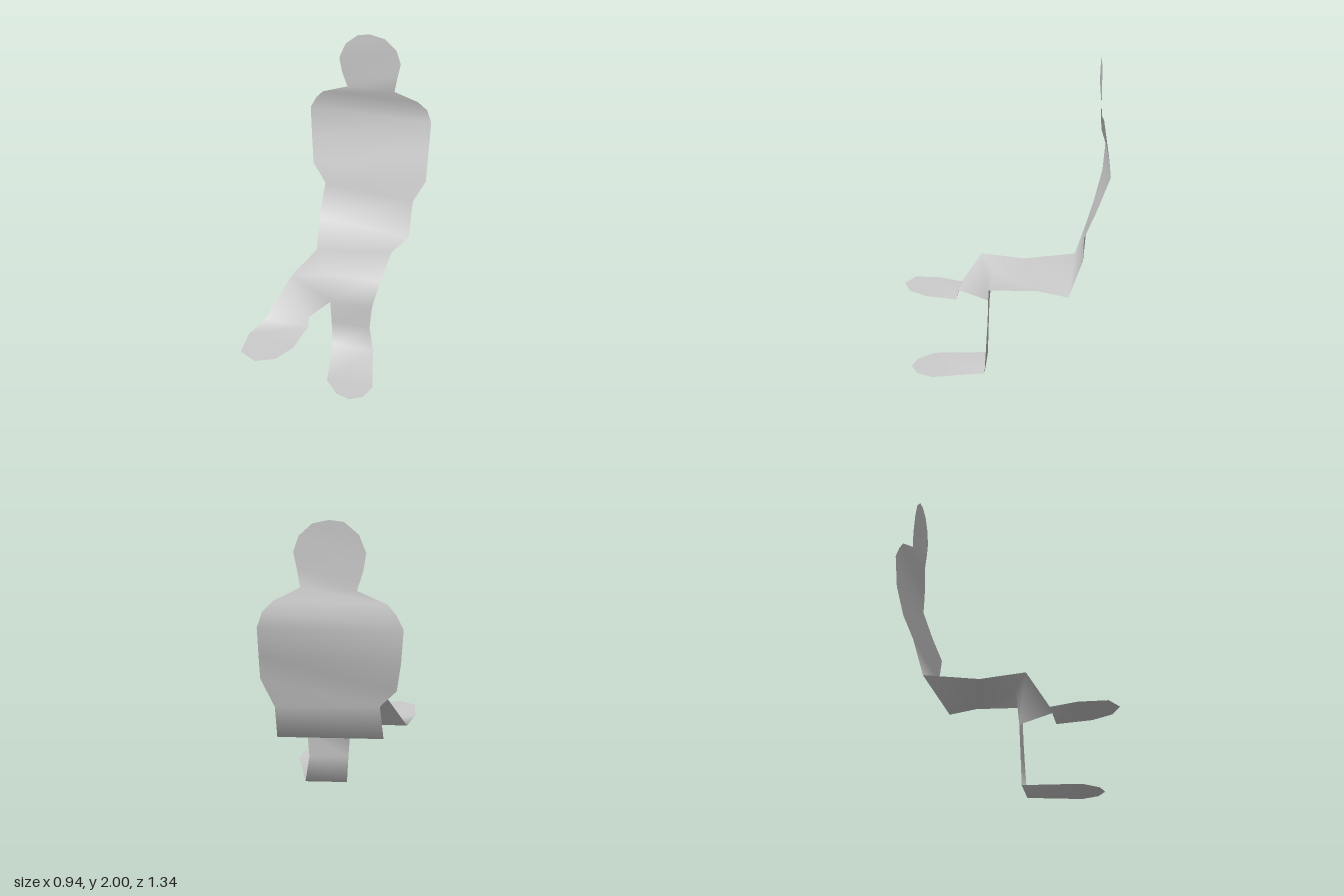
import * as THREE from 'three';

// Shared landmarks of the folded sheet figure
const neck = [[-0.09, 1.61, -0.63], [0.22, 1.62, -0.615]];
const hips = [[-0.25, 0.63, -0.49], [0.39, 0.61, -0.45]];
const thighs = [[-0.18, 0.615, -0.16], [0.31, 0.61, -0.26]];
const raisedKnee = [-0.27, 0.605, 0.13];
const midKnee = [-0.04, 0.59, 0.04];
const standingKnee = [0.30, 0.6, 0.04];
const crotch = [-0.03, 0.37, 0.06];
const innerCalf = [-0.12, 0.4, 0.27];
const raisedAnkle = [[-0.41, 0.33, 0.28], [-0.12, 0.33, 0.29]];
const standingAnkle = [[-0.01, 0.003, 0.07], [0.27, 0.003, 0.07]];

// Strip of triangles between rows of [right edge, left edge]
function ladder(rows) {
  const tris = [];
  for (let i = 0; i + 1 < rows.length; i++) {
    const [a, b] = rows[i], [c, d] = rows[i + 1];
    tris.push([a, c, b]);
    if (c !== d) tris.push([b, c, d]);
  }
  return tris;
}

// Closing row that narrows to one point
const tip = (x, y, z) => { const p = [x, y, z]; return [p, p]; };

const parts = {
  head: ladder([
    [[-0.02, 1.99, -0.61], [0.06, 2.0, -0.61]],
    [[-0.10, 1.92, -0.61], [0.15, 1.98, -0.61]],
    [[-0.14, 1.82, -0.61], [0.225, 1.91, -0.61]],
    [[-0.125, 1.72, -0.62], [0.255, 1.82, -0.61]],
    [[-0.11, 1.67, -0.625], [0.24, 1.74, -0.61]],
    neck,
  ]),
  torso: ladder([
    neck,
    [[-0.26, 1.54, -0.65], [0.37, 1.55, -0.645]],
    [[-0.31, 1.48, -0.66], [0.43, 1.49, -0.66]],
    [[-0.35, 1.4, -0.67], [0.46, 1.4, -0.67]],
    [[-0.34, 1.19, -0.655], [0.465, 1.2, -0.6]],
    [[-0.32, 1.0, -0.61], [0.47, 1.03, -0.53]],
    [[-0.225, 0.88, -0.565], [0.39, 0.85, -0.53]],
    hips,
  ]),
  lap: [
    ...ladder([hips, thighs]),
    [thighs[0], raisedKnee, midKnee],
    [thighs[0], midKnee, thighs[1]],
    [thighs[1], midKnee, standingKnee],
  ],
  raisedShin: [
    [raisedKnee, raisedAnkle[0], innerCalf],
    [raisedAnkle[0], raisedAnkle[1], innerCalf],
    [raisedKnee, innerCalf, crotch],
    [raisedKnee, crotch, midKnee],
  ],
  raisedFoot: ladder([
    raisedAnkle,
    [[-0.47, 0.33, 0.44], [-0.16, 0.33, 0.50]],
    [[-0.47, 0.33, 0.61], [-0.24, 0.33, 0.62]],
    tip(-0.36, 0.33, 0.67),
  ]),
  standingShin: ladder([
    [midKnee, standingKnee],
    [crotch, [0.25, 0.37, 0.05]],
    [[-0.02, 0.2, 0.065], [0.24, 0.2, 0.06]],
    standingAnkle,
  ]),
  standingFoot: ladder([
    standingAnkle,
    [[0.04, 0.012, 0.42], [0.34, 0.003, 0.40]],
    [[0.13, 0.012, 0.52], [0.30, 0.006, 0.50]],
    tip(0.22, 0.01, 0.545),
  ]),
};

export function createModel() {
  const group = new THREE.Group();
  group.name = 'seatedFigure';
  const material = new THREE.MeshStandardMaterial({ color: 0xcccccc, side: THREE.DoubleSide });

  // Index every shared corner once so shading stays smooth across the folds
  const ids = new Map(), positions = [];
  const idOf = (p) => {
    const key = p.join();
    if (!ids.has(key)) {
      ids.set(key, ids.size);
      positions.push(...p);
    }
    return ids.get(key);
  };
  const indices = {};
  for (const [name, tris] of Object.entries(parts)) indices[name] = tris.flat().map(idOf);

  const sheet = new THREE.BufferGeometry();
  sheet.setAttribute('position', new THREE.Float32BufferAttribute(positions, 3));
  sheet.setIndex(Object.values(indices).flat());
  sheet.computeVertexNormals();

  // One mesh per body part, sharing the corners and normals
  for (const [name, index] of Object.entries(indices)) {
    const geometry = new THREE.BufferGeometry();
    geometry.setAttribute('position', sheet.attributes.position);
    geometry.setAttribute('normal', sheet.attributes.normal);
    geometry.setIndex(index);
    const mesh = new THREE.Mesh(geometry, material);
    mesh.name = name;
    group.add(mesh);
  }
  return group;
}
